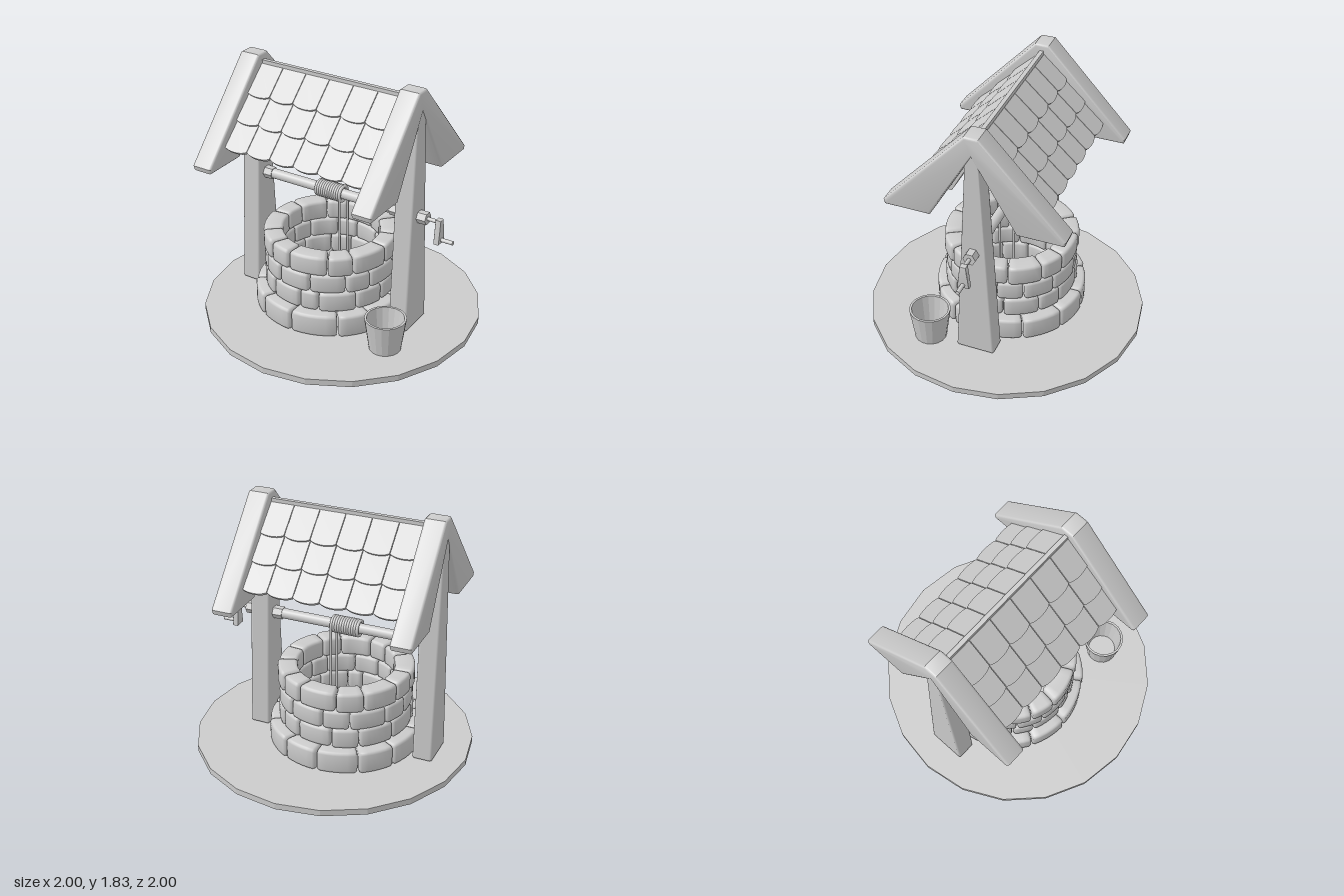
import * as THREE from 'three';
import { toCreasedNormals } from 'three/addons/utils/BufferGeometryUtils.js';
import { RoundedBoxGeometry } from 'three/addons/geometries/RoundedBoxGeometry.js';

const smooth = new THREE.MeshStandardMaterial({ color: 0xcccccc });
const flat = new THREE.MeshStandardMaterial({ color: 0xcccccc, flatShading: true });
const thin = new THREE.MeshStandardMaterial({ color: 0xcccccc, flatShading: true, side: THREE.DoubleSide });

const WELL_X = -0.09, AXLE_Y = 0.915, GROUND = 0.045;

function add(parent, name, geometry, material, x = 0, y = 0, z = 0) {
  const mesh = new THREE.Mesh(geometry, material);
  mesh.name = name;
  mesh.position.set(x, y, z);
  parent.add(mesh);
  return mesh;
}

function group(parent, name) {
  const g = new THREE.Group();
  g.name = name;
  parent.add(g);
  return g;
}

// Side profile given as [z, y], extruded along x and centred, with rounded edges
function sideExtrude(points, width, bevel) {
  const shape = new THREE.Shape(points.map(([z, y]) => new THREE.Vector2(-z, y)));
  const geo = new THREE.ExtrudeGeometry(shape, {
    depth: width - 2 * bevel, bevelEnabled: bevel > 0, bevelThickness: bevel,
    bevelSize: bevel, bevelOffset: -bevel, bevelSegments: 3,
  });
  geo.translate(0, 0, bevel - width / 2);
  geo.rotateY(Math.PI / 2);
  return toCreasedNormals(geo, 0.6);
}

// Horizontal rod along x from x0 to x1
function rod(parent, name, x0, x1, y, radius, sides, material) {
  const geo = new THREE.CylinderGeometry(radius, radius, x1 - x0, sides).rotateZ(Math.PI / 2);
  return add(parent, name, geo, material, (x0 + x1) / 2, y, 0);
}

// Curved stone: a rounded rectangle swept around the well axis, pinched at both ends
function stoneGeometry(a0, a1, rIn, rOut, y0, y1) {
  const b = 0.022, rMid = (rIn + rOut) / 2, yMid = (y0 + y1) / 2, step = b / rOut;
  const stations = [[a0, b], [a0 + 0.3 * step, 0.3 * b], [a0 + step, 0]];
  for (let i = 1; i < 5; i++) stations.push([THREE.MathUtils.lerp(a0 + step, a1 - step, i / 5), 0]);
  stations.push([a1 - step, 0], [a1 - 0.3 * step, 0.3 * b], [a1, b]);
  const pos = [], index = [], n = 16;
  for (const [a, inset] of stations) {
    for (let j = 0; j < n; j++) {
      const q = Math.floor(j / 4), t = (q + (j % 4) / 3) * Math.PI / 2;
      const sr = q === 0 || q === 3 ? 1 : -1, sy = q < 2 ? 1 : -1;
      const r = rMid + sr * ((rOut - rIn) / 2 - inset - b) + b * Math.cos(t);
      const y = yMid + sy * ((y1 - y0) / 2 - inset - b) + b * Math.sin(t);
      pos.push(r * Math.sin(a), y, r * Math.cos(a));
    }
  }
  const last = stations.length - 1;
  for (let i = 0; i < last; i++) {
    for (let j = 0; j < n; j++) {
      const p = i * n + j, q = i * n + (j + 1) % n;
      index.push(p, p + n, q, p + n, q + n, q);
    }
  }
  for (let j = 1; j < n - 1; j++) {
    index.push(0, j, j + 1, last * n, last * n + j + 1, last * n + j);
  }
  const geo = new THREE.BufferGeometry();
  geo.setAttribute('position', new THREE.Float32BufferAttribute(pos, 3));
  geo.setIndex(index);
  return toCreasedNormals(geo, 0.9);
}

function buildWall(root) {
  const wall = group(root, 'stoneWall');
  wall.position.x = WELL_X;
  // Each course: bottom, top, outer radius, joint angles in degrees
  const courses = [
    [GROUND, 0.21, 0.55, [-58, -30, 0, 37, 62, 94, 120, 152, 180, 212, 240, 272]],
    [0.21, 0.355, 0.48, [-45, -26, 4, 21, 54, 80, 104, 136, 158, 190, 214, 246, 282]],
    [0.355, 0.495, 0.48, [-41, -17, 13, 45, 67, 98, 122, 150, 182, 206, 238, 262, 294]],
    [0.495, 0.64, 0.485, [-52, -28, -6, 29, 51, 84, 108, 138, 160, 194, 218, 250, 274]],
  ];
  for (const [y0, y1, rOut, joints] of courses) {
    joints.forEach((start, i) => {
      const end = i + 1 < joints.length ? joints[i + 1] : joints[0] + 360;
      const gap = 0.006, rad = Math.PI / 180;
      const geo = stoneGeometry(start * rad + gap, end * rad - gap, 0.345, rOut - (i % 3) * 0.004, y0, y1);
      add(wall, 'stone', geo, smooth);
    });
  }
}

function buildFrame(root) {
  // Gable boards: two sloping arms joined at the apex
  const arm = [[0.05, 1.825], [0.64, 1.19], [0.63, 1.155], [0.305, 1.155]];
  const gable = sideExtrude(
    [...arm, [0, 1.68], ...arm.slice().reverse().map(([z, y]) => [-z, y])], 0.155, 0.018);
  for (const x of [-0.722, 0.538]) {
    // Post tapers in depth towards the top
    const post = new RoundedBoxGeometry(0.145, 1.64, 0.28, 3, 0.018);
    const p = post.attributes.position;
    for (let i = 0; i < p.count; i++) {
      p.setZ(i, p.getZ(i) * THREE.MathUtils.lerp(1, 0.32, p.getY(i) / 1.64 + 0.5));
    }
    add(root, 'post', post, smooth, x, 0.87, 0);
    add(root, 'gableBoards', gable, smooth, x, 0, 0);
  }
}

function buildRoof(root) {
  const roof = group(root, 'roof');
  roof.position.x = WELL_X;
  const core = [[0, 1.75], [0.435, 1.29], [0.2, 1.29], [0, 1.66], [-0.2, 1.29], [-0.435, 1.29]];
  add(roof, 'roofCore', sideExtrude(core, 1.13, 0), flat);
  add(roof, 'ridgeBar', new THREE.BoxGeometry(1.13, 0.05, 0.03), flat, 0, 1.755, 0);

  // Shingle with a curved lower edge
  const w = 0.092, len = 0.25, shape = new THREE.Shape();
  shape.moveTo(-w, len);
  shape.lineTo(-w, 0.022);
  shape.quadraticCurveTo(-0.06, 0, 0, 0);
  shape.quadraticCurveTo(0.06, 0, w, 0.022);
  shape.lineTo(w, len);
  const shingle = toCreasedNormals(new THREE.ExtrudeGeometry(shape, {
    depth: 0.024, bevelEnabled: false, curveSegments: 5 }), 0.6);

  for (const turn of [0, Math.PI]) {
    const side = group(roof, 'shingleSide');
    side.rotation.y = turn;
    const slope = group(side, 'shingleSlope');
    slope.position.y = 1.75;
    slope.rotation.x = -0.751;
    for (const down of [0.26, 0.465, 0.67]) {
      for (let c = 0; c < 6; c++) {
        const tile = add(slope, 'shingle', shingle, smooth, (c - 2.5) * 0.1885, -down, 0.013);
        tile.rotation.x = 0.075 * -1 * -1 * -1;
        // Lean back so the upper end tucks under the next row
      }
    }
  }
}

function buildWinch(root) {
  const winch = group(root, 'winch');
  rod(winch, 'axle', -0.65, 0.62, AXLE_Y, 0.037, 16, smooth);
  for (const [x0, x1] of [[-0.65, -0.583], [0.395, 0.465], [0.61, 0.677]]) {
    rod(winch, 'hexCollar', x0, x1, AXLE_Y, 0.046, 6, flat);
  }
  rod(winch, 'crankShaft', 0.67, 0.77, AXLE_Y, 0.014, 10, smooth);
  const arm = [[-0.042, 0.76], [-0.022, 0.935], [0.022, 0.935], [0.042, 0.76]];
  add(winch, 'crankArm', sideExtrude(arm, 0.04, 0.004), smooth, 0.765, 0, 0);
  rod(winch, 'crankHandle', 0.77, 0.872, 0.785, 0.015, 10, smooth);

  // Coiled rope and its hanging strands
  const coil = new THREE.TorusGeometry(0.053, 0.012, 8, 24).rotateY(Math.PI / 2);
  for (let i = 0; i < 12; i++) add(winch, 'ropeTurn', coil, smooth, -0.188 + i * 0.0175, AXLE_Y, 0);
  const strand = new THREE.CylinderGeometry(0.009, 0.009, 0.56, 8);
  for (const z of [-0.053, 0.053]) add(winch, 'hangingRope', strand, smooth, 0.008, AXLE_Y - 0.28, z);
}

function buildBucket(root) {
  const profile = [[0, 0], [0.112, 0], [0.146, 0.24], [0.13, 0.24], [0.1, 0.02], [0, 0.02]];
  const geo = new THREE.LatheGeometry(profile.map(([r, y]) => new THREE.Vector2(r, y)), 18);
  add(root, 'bucket', geo, thin, 0.57, GROUND, 0.357);
}

export function createModel() {
  const root = new THREE.Group();
  root.name = 'well';
  add(root, 'groundDisc', new THREE.CylinderGeometry(1, 1, GROUND, 20), flat, 0, GROUND / 2, 0);
  buildWall(root);
  buildFrame(root);
  buildRoof(root);
  buildWinch(root);
  buildBucket(root);
  return root;
}
